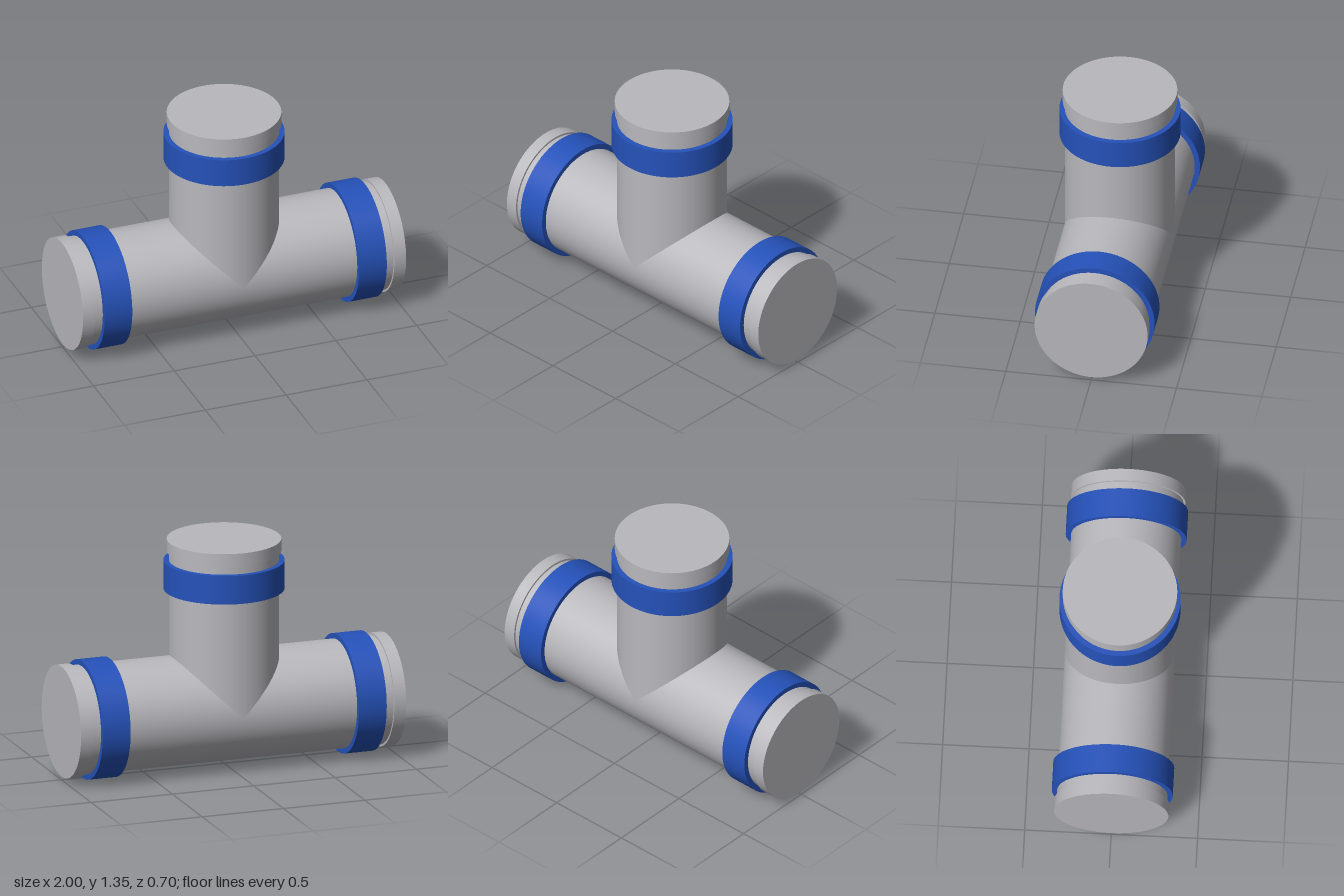
import * as THREE from 'three';

const AXIS_Y = 0.35, PIPE_R = 0.319, LIP_R = 0.331, BAND_R = 0.35;

export function createModel() {
  const steel = new THREE.MeshStandardMaterial({ color: 0xb9b8bd });
  steel.name = 'grey steel';
  const blue = new THREE.MeshStandardMaterial({ color: 0x2552ba });
  blue.name = 'blue band';

  // One arm: a closed stepped pipe and a clamp band, running up from the junction
  function arm(name, length) {
    const group = new THREE.Group();
    group.name = name;
    const add = (part, radius, from, to, material) => {
      const geometry = new THREE.CylinderGeometry(radius, radius, to - from, 96);
      const mesh = new THREE.Mesh(geometry, material);
      mesh.position.y = (from + to) / 2;
      mesh.name = part;
      group.add(mesh);
    };
    add('pipe', PIPE_R, 0, length - 0.04, steel);
    add('endLip', LIP_R, length - 0.073, length, steel);
    add('clampBand', BAND_R, length - 0.298, length - 0.127, blue);
    group.position.y = AXIS_Y;
    return group;
  }

  const model = new THREE.Group();
  model.name = 'pipeTee';

  // Two mirrored arms of the run and the upright branch
  for (const side of [-1, 1]) {
    const run = arm(side > 0 ? 'leftArm' : 'rightArm', 1);
    run.rotation.z = -side * Math.PI / 2;
    model.add(run);
  }
  model.add(arm('branch', 1.003));
  return model;
}
